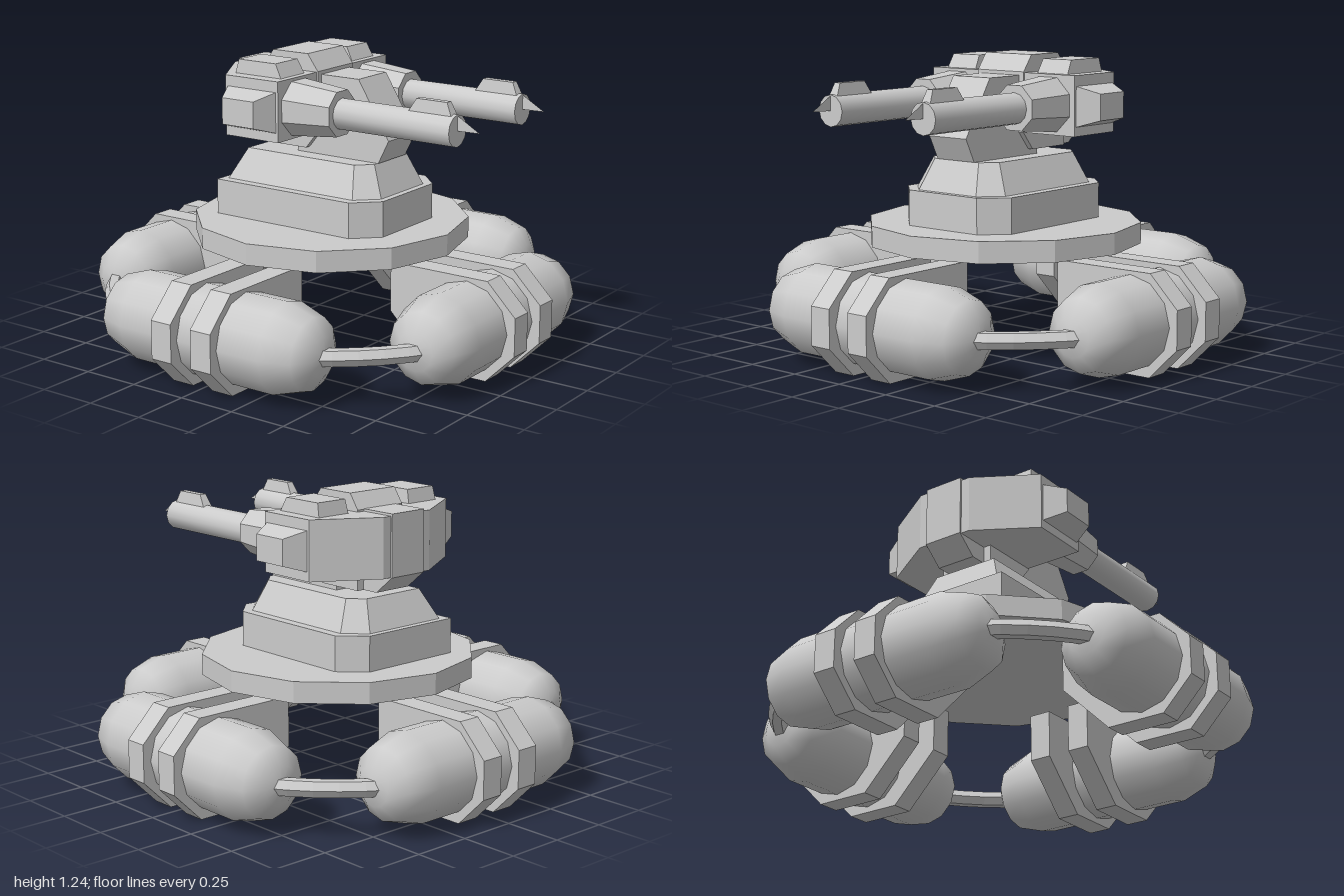
import * as THREE from 'three';
import { toCreasedNormals } from 'three/addons/utils/BufferGeometryUtils.js';
import { ConvexGeometry } from 'three/addons/geometries/ConvexGeometry.js';

const flat = new THREE.MeshStandardMaterial({ color: 0xcccccc, flatShading: true });
const smooth = new THREE.MeshStandardMaterial({ color: 0xcccccc });
const thin = new THREE.MeshStandardMaterial({ color: 0xcccccc, side: THREE.DoubleSide });

function add(parent, name, geometry, material = flat) {
  const mesh = new THREE.Mesh(geometry, material);
  mesh.name = name;
  parent.add(mesh);
  return mesh;
}

// Solid between two [x, z] outlines at heights y0 and y1
function loft(lower, y0, upper, y1) {
  return new ConvexGeometry([
    ...lower.map(([x, z]) => new THREE.Vector3(x, y0, z)),
    ...upper.map(([x, z]) => new THREE.Vector3(x, y1, z)),
  ]);
}

// Side profile [z, y] extruded along x, centred on x = 0
function slab(profile, width) {
  const shape = new THREE.Shape(profile.map(([z, y]) => new THREE.Vector2(z, y)));
  return new THREE.ExtrudeGeometry(shape, { depth: width, bevelEnabled: false })
    .translate(0, 0, -width / 2).rotateY(-Math.PI / 2);
}

const rect = (x0, x1, z0, z1) => [[x0, z0], [x1, z0], [x1, z1], [x0, z1]];

// Rectangle with three cut corners; the back right one stays square
const plinthPlan = (x, z, c) => [
  [-x, -z], [x - c, -z], [x, -z + c], [x, z - c],
  [x - c, z], [-x + c, z], [-x, z - c],
];

// One float along x on the front side, with two straps and a corner pipe
function makeFloat() {
  const unit = new THREE.Group();
  unit.name = 'floatUnit';

  const half = [[0, 0.535], [0.08, 0.525], [0.15, 0.475], [0.19, 0.35]];
  const outline = [...half.map(([r, h]) => [r, -h]), ...half.reverse()]
    .map(([r, h]) => new THREE.Vector2(r, h));
  const tank = add(unit, 'floatTank', new THREE.LatheGeometry(outline, 12), smooth);
  tank.rotation.z = Math.PI / 2;
  tank.position.set(0, 0.215, 0.775);

  const strapProfile = [
    [0.41, 0.42], [0.41, 0.21], [0.62, 0], [0.87, 0],
    [1, 0.13], [1, 0.29], [0.87, 0.42],
  ];
  for (const x of [-0.1, 0.1]) {
    add(unit, 'floatStrap', slab(strapProfile, 0.1)).position.x = x;
  }

  const arc = Math.PI / 6;
  const pipe = new THREE.TorusGeometry(0.935, 0.037, 6, 5, arc)
    .rotateZ(arc).rotateX(Math.PI / 2);
  add(unit, 'connectingPipe', pipe).position.y = 0.212;
  return unit;
}

// Gun assembly at x = 0, barrel pointing to +z
function makeGun() {
  const gun = new THREE.Group();
  gun.name = 'gun';
  const k = 1 / Math.cos(Math.PI / 8);
  const housing = new THREE.CylinderGeometry(0.092 * k, 0.113 * k, 0.225, 8)
    .rotateY(Math.PI / 8).rotateX(Math.PI / 2);
  add(gun, 'barrelHousing', housing).position.set(0, 1.037, 0.1225);

  const barrel = new THREE.CylinderGeometry(0.065, 0.065, 0.56, 12).rotateX(Math.PI / 2);
  add(gun, 'barrel', toCreasedNormals(barrel, 0.7), smooth).position.set(0, 1.035, 0.5);

  add(gun, 'barrelSight',
    loft(rect(-0.025, 0.025, 0.56, 0.77), 1.08, rect(-0.015, 0.015, 0.6, 0.74), 1.145));

  // Thin pointed blade at the muzzle
  const blade = new THREE.Shape([
    new THREE.Vector2(0.78, 1.035), new THREE.Vector2(0.88, 1.037), new THREE.Vector2(0.78, 1.095),
  ]);
  add(gun, 'muzzleBlade', new THREE.ShapeGeometry(blade).rotateY(-Math.PI / 2), thin);
  return gun;
}

export function createModel() {
  const model = new THREE.Group();
  model.name = 'floatingTurret';

  // Ring of four floats
  for (let i = 0; i < 4; i++) {
    const unit = makeFloat();
    unit.rotation.y = i * Math.PI / 2;
    model.add(unit);
  }

  // Deck and pedestal
  add(model, 'deck', new THREE.CylinderGeometry(0.587, 0.587, 0.09, 12)).position.y = 0.485;
  const plan = plinthPlan(0.285, 0.393, 0.1);
  add(model, 'plinth', loft(plan, 0.53, plan, 0.68));
  add(model, 'pedestal',
    loft(plinthPlan(0.242, 0.365, 0.085), 0.68, plinthPlan(0.18, 0.305, 0.06), 0.81));

  // Turret head: sloped neck, centre spine, rear band and wide body
  const turret = new THREE.Group();
  turret.name = 'turret';
  model.add(turret);
  add(turret, 'neck', slab([
    [0.31, 0.81], [0.36, 0.91], [0.21, 1.15], [-0.1, 1.15], [-0.1, 0.81],
  ], 0.2));
  add(turret, 'spine', slab([
    [0.022, 0.91], [0.022, 1.165], [-0.03, 1.235], [-0.21, 1.235],
    [-0.255, 1.17], [-0.255, 0.835], [-0.04, 0.835],
  ], 0.25));
  add(turret, 'rearBand', slab([
    [-0.2, 1.172], [-0.42, 1.172], [-0.42, 0.91], [-0.33, 0.835], [-0.2, 0.835],
  ], 0.18));
  const body = [
    [-0.388, 0.015], [0.388, 0.015], [0.388, -0.255],
    [0.13, -0.412], [-0.13, -0.412], [-0.388, -0.255],
  ];
  add(turret, 'body', loft(body, 0.91, body, 1.162));

  // Paired parts on both sides
  for (const s of [-1, 1]) {
    const gun = makeGun();
    gun.position.x = 0.25 * s;
    turret.add(gun);

    const hatch = loft(rect(-0.08, 0.08, -0.25, -0.01), 1.155, rect(-0.074, 0.074, -0.235, -0.045), 1.22);
    add(turret, 'roofBlock', hatch).position.x = 0.25 * s;

    // Tapered cheek block, lofted upward then laid on its side
    const cheek = loft(rect(-0.085, 0.085, -0.125, 0.125), 0, rect(-0.055, 0.055, -0.08, 0.08), 0.095);
    const block = add(turret, 'cheekBlock', cheek);
    block.rotation.z = -s * Math.PI / 2;
    block.position.set(0.385 * s, 1.033, -0.12);
  }
  return model;
}
